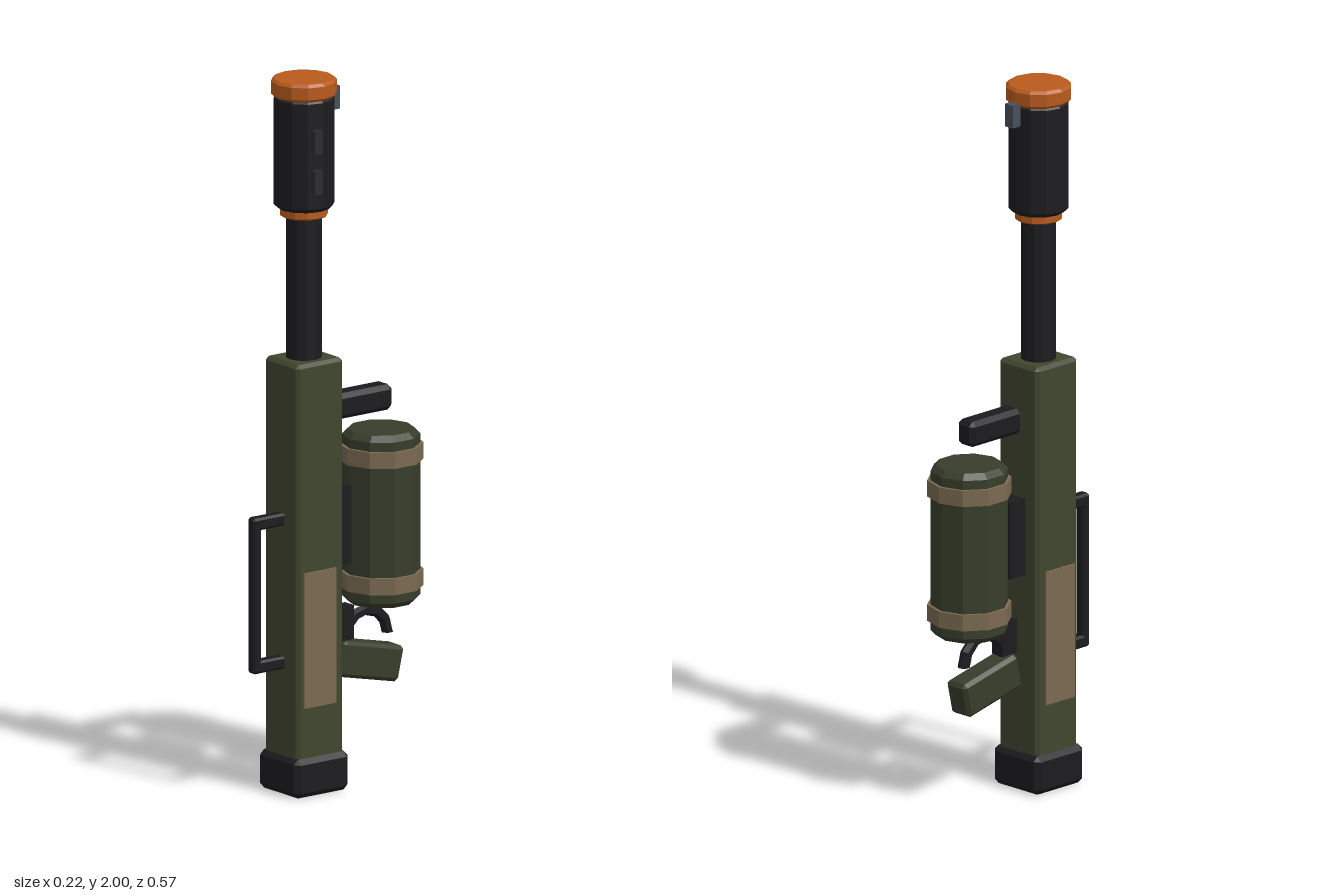
import * as THREE from 'three';
import { ConvexGeometry } from 'three/addons/geometries/ConvexGeometry.js';

const mat = (color) => new THREE.MeshStandardMaterial({ color, flatShading: true });

export function createModel() {
  const group = new THREE.Group();
  const green = mat(0x40462f), darkGreen = mat(0x373d2b), black = mat(0x1c1c1f);
  const tan = mat(0x7a6a50), orange = mat(0xb85a1c), steel = mat(0x4a4f5a), slate = mat(0x2b2c31);

  const add = (name, geometry, material, x, y, z) => {
    const mesh = new THREE.Mesh(geometry, material);
    mesh.name = name;
    mesh.position.set(x, y, z);
    group.add(mesh);
    return mesh;
  };

  // Box with chamfered edges and corners
  const chamferBox = (w, h, d, b) => {
    const pts = [];
    for (const sx of [-1, 1]) for (const sy of [-1, 1]) for (const sz of [-1, 1]) {
      for (let axis = 0; axis < 3; axis++) {
        const [x, y, z] = [w, h, d].map((s, i) => s / 2 - (i === axis ? 0 : b));
        pts.push(new THREE.Vector3(sx * x, sy * y, sz * z));
      }
    }
    return new ConvexGeometry(pts);
  };

  // Upright faceted cylinder with chamfered rims
  const drum = (r, h, b, sides) => new THREE.LatheGeometry([
    [0, -h / 2], [r - b, -h / 2], [r, -h / 2 + b], [r, h / 2 - b], [r - b, h / 2], [0, h / 2],
  ].map(([x, y]) => new THREE.Vector2(x, y)), sides);

  // Long square body, butt cap and side panels
  add('body', chamferBox(0.15, 1.14, 0.16, 0.01), green, 0, 0.645, 0.1);
  add('buttCap', chamferBox(0.178, 0.11, 0.186, 0.015), black, 0, 0.055, 0.1);
  for (const side of [-1, 1]) {
    add('sidePanel', new THREE.BoxGeometry(0.012, 0.38, 0.11), tan, side * 0.074, 0.44, 0.105);
  }

  // Barrel, muzzle and orange trim
  add('barrel', new THREE.CylinderGeometry(0.049, 0.049, 0.46, 12), black, 0, 1.42, 0.1);
  add('muzzleRing', drum(0.066, 0.035, 0.004, 12), orange, 0, 1.63, 0.1);
  add('muzzle', drum(0.084, 0.32, 0.012, 12), black, 0, 1.796, 0.1);
  add('muzzleCap', drum(0.091, 0.05, 0.008, 12), orange, 0, 1.975, 0.1);
  add('rearSight', new THREE.BoxGeometry(0.03, 0.065, 0.03), steel, 0, 1.929, 0.002);
  for (const y of [1.725, 1.838]) {
    add('muzzleVent', new THREE.BoxGeometry(0.03, 0.067, 0.028), slate, 0.077, y, 0.12);
  }

  // Front carrying handle
  add('handleBar', chamferBox(0.034, 0.438, 0.028, 0.007), black, 0, 0.571, 0.27);
  for (const y of [0.37, 0.772]) {
    add('handlePost', chamferBox(0.034, 0.035, 0.11, 0.006), black, 0, y, 0.222);
  }

  // Rear fore grip
  add('foreGrip', chamferBox(0.065, 0.072, 0.196, 0.013), black, 0, 1.061, -0.088);

  // Banded canister and its mount
  add('canister', drum(0.107, 0.485, 0.016, 10), darkGreen, 0, 0.729, -0.166);
  for (const y of [0.552, 0.907]) {
    add('canisterBand', new THREE.LatheGeometry([
      [0.1, -0.023], [0.116, -0.023], [0.116, 0.023], [0.1, 0.023],
    ].map(([r, h]) => new THREE.Vector2(r, h)), 10), tan, 0, y, -0.166);
  }
  add('canisterMount', new THREE.BoxGeometry(0.06, 0.218, 0.075), black, 0, 0.727, -0.004);

  // Trigger block, guard and tilted rear grip
  add('triggerBlock', new THREE.BoxGeometry(0.04, 0.095, 0.055), black, 0, 0.447, -0.03);
  const guard = add('triggerGuard', new THREE.TorusGeometry(0.075, 0.017, 6, 6, Math.PI), black, 0, 0.395, -0.112);
  guard.rotation.y = Math.PI / 2;
  const grip = add('rearGrip', chamferBox(0.076, 0.1, 0.212, 0.01), darkGreen, 0, 0.33, -0.108);
  grip.rotation.x = -0.225;

  return group;
}
